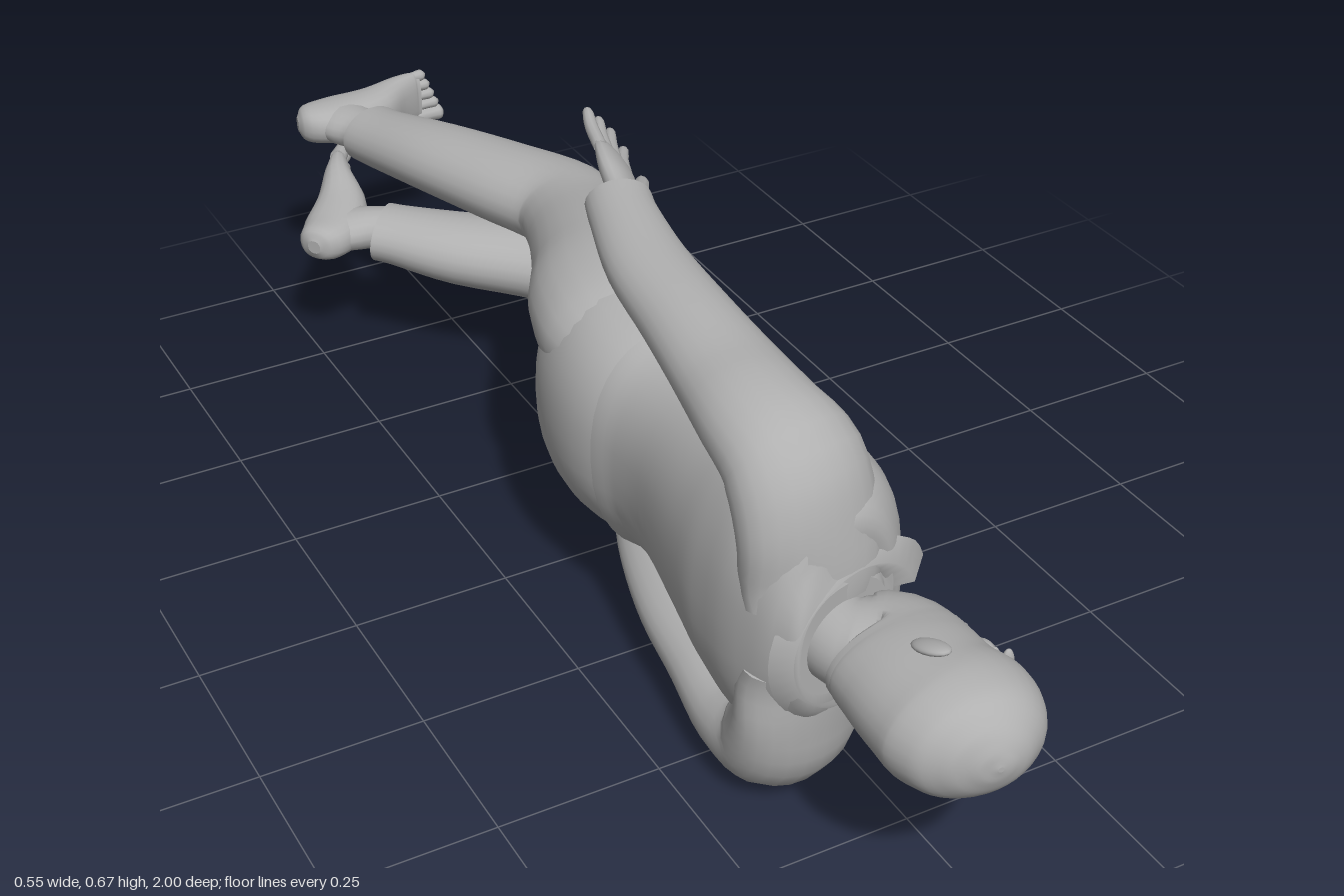
import * as THREE from 'three';

const grey = new THREE.MeshStandardMaterial({ color: 0xb0b0b0 });
grey.name = 'plain grey';
const greySheet = new THREE.MeshStandardMaterial({ color: 0xb0b0b0, side: THREE.DoubleSide });
greySheet.name = 'plain grey sheet';

function add(parent, name, geo, mat = grey) {
  const mesh = new THREE.Mesh(geo, mat);
  mesh.name = name;
  parent.add(mesh);
  return mesh;
}

// Smooth body through stations [x, y, z, half width across, half height in y].
function loft(stations, { sides = 24, steps = 4, power = 2 } = {}) {
  const path = new THREE.CatmullRomCurve3(stations.map(s => new THREE.Vector3(s[0], s[1], s[2])), false, 'catmullrom');
  const size = new THREE.CatmullRomCurve3(stations.map(s => new THREE.Vector3(s[3], s[4], 0)), false, 'catmullrom');
  const n = (stations.length - 1) * steps;
  const pos = [], idx = [], up = new THREE.Vector3(0, 1, 0);
  const bend = c => Math.sign(c) * Math.abs(c) ** (2 / power);
  for (let k = 0; k <= n; k++) {
    const c = path.getPoint(k / n), t = path.getTangent(k / n), r = size.getPoint(k / n);
    const u = new THREE.Vector3().crossVectors(up, t).normalize();
    const v = new THREE.Vector3().crossVectors(t, u);
    for (let i = 0; i < sides; i++) {
      const th = i / sides * Math.PI * 2;
      const p = c.clone().addScaledVector(u, bend(Math.cos(th)) * Math.max(r.x, 0.001))
        .addScaledVector(v, bend(Math.sin(th)) * Math.max(r.y, 0.001));
      pos.push(p.x, p.y, p.z);
    }
  }
  for (let k = 0; k < n; k++) for (let i = 0; i < sides; i++) {
    const a = k * sides + i, b = k * sides + (i + 1) % sides, c = a + sides, d = b + sides;
    idx.push(a, b, d, a, d, c);
  }
  // End caps with their own corners
  for (const [ring, flip] of [[0, true], [n, false]]) {
    const base = pos.length / 3;
    for (let i = 0; i < sides * 3; i++) pos.push(pos[ring * sides * 3 + i]);
    for (let i = 1; i < sides - 1; i++) idx.push(base, base + (flip ? i + 1 : i), base + (flip ? i : i + 1));
  }
  const geo = new THREE.BufferGeometry();
  geo.setAttribute('position', new THREE.Float32BufferAttribute(pos, 3));
  geo.setIndex(idx);
  geo.computeVertexNormals();
  return geo;
}

function blob(parent, name, x, y, z, rx, ry, rz) {
  const m = add(parent, name, new THREE.SphereGeometry(1, 16, 12));
  m.position.set(x, y, z);
  m.scale.set(rx, ry, rz);
  return m;
}

// Hand: local z runs to the fingertips, local x is the thumb side.
function makeHand(name, wrist, tip, thumbSide) {
  const g = new THREE.Group();
  g.name = name;
  add(g, 'palm', loft([[0, 0, -0.03, 0.026, 0.02], [0, 0, 0.01, 0.026, 0.019], [0.003, 0, 0.06, 0.042, 0.02],
    [0, 0, 0.105, 0.045, 0.016], [0, 0, 0.135, 0.041, 0.01]], { sides: 16 }));
  const lengths = [0.085, 0.103, 0.113, 0.1];
  lengths.forEach((len, i) => {
    const x = -0.033 + i * 0.022, out = (i - 1.5) * 0.01;
    add(g, 'finger', loft([[x, 0, 0.115, 0.0105, 0.0105], [x + out * 0.5, 0.003, 0.125 + len * 0.5, 0.0105, 0.01],
      [x + out, 0, 0.117 + len, 0.009, 0.008], [x + out, -0.001, 0.125 + len, 0.003, 0.003]], { sides: 10, steps: 3 }));
  });
  add(g, 'thumb', loft([[0.015, 0, 0.03, 0.017, 0.015], [0.047, -0.005, 0.078, 0.015, 0.014],
    [0.066, -0.008, 0.13, 0.012, 0.011], [0.069, -0.008, 0.152, 0.004, 0.004]], { sides: 10, steps: 3 }));
  const w = new THREE.Vector3(...wrist), dir = new THREE.Vector3(...tip).sub(w).normalize();
  const normal = new THREE.Vector3().crossVectors(dir, new THREE.Vector3(...thumbSide)).normalize();
  const side = new THREE.Vector3().crossVectors(normal, dir);
  g.quaternion.setFromRotationMatrix(new THREE.Matrix4().makeBasis(side, normal, dir));
  g.position.copy(w);
  return g;
}

// Bare foot: toes along local x, sole towards local -z, big toe towards local -y.
function makeFoot(name) {
  const g = new THREE.Group();
  g.name = name;
  add(g, 'ankle', loft([[0.01, 0, 0.06, 0.042, 0.036], [0, 0, 0, 0.042, 0.035], [-0.015, 0, -0.05, 0.054, 0.034],
    [-0.02, 0, -0.1, 0.04, 0.03]], { sides: 18 }));
  add(g, 'sole and instep', loft([[-0.092, 0, -0.08, 0.012, 0.012], [-0.078, 0, -0.077, 0.036, 0.03],
    [-0.03, 0, -0.067, 0.052, 0.036], [0.04, -0.006, -0.074, 0.046, 0.042], [0.1, -0.014, -0.098, 0.029, 0.051],
    [0.14, -0.016, -0.11, 0.018, 0.051], [0.155, -0.016, -0.111, 0.013, 0.046]], { sides: 20, power: 2.3 }));
  for (let i = 0; i < 5; i++) {
    const y = -0.053 + i * 0.0195 - (i ? 0 : 0.002), r = i ? 0.0105 : 0.015, end = 0.202 - i * 0.008;
    add(g, 'toe', loft([[0.135, y, -0.109, r, r], [end - 0.025, y, -0.111, r * 0.85, r * 0.9],
      [end - 0.008, y, -0.113, r, r], [end, y, -0.114, r * 0.3, r * 0.3]], { sides: 10, steps: 3 }));
  }
  return g;
}

// Open collar: a folded band around the neck with a gap and two points at the front.
function collarGeometry() {
  const pos = [], idx = [], n = 32;
  for (let i = 0; i <= n; i++) {
    const th = 0.35 + i / n * (Math.PI * 2 - 0.7), c = Math.cos(th), s = Math.sin(th), f = (c + 1) / 2;
    const point = Math.max(0, f - 0.8) * 0.12;
    pos.push(-0.068 + 0.085 * c, 0.308 + 0.08 * s, 0.69 - 0.03 * f);
    pos.push(-0.06 + 0.11 * c, 0.303 + 0.105 * s, 0.713 - 0.045 * f);
    pos.push(-0.048 + 0.143 * c, 0.292 + 0.138 * s, 0.684 - 0.04 * f - point);
    if (i < n) for (let j = 0; j < 2; j++) {
      const a = i * 3 + j;
      idx.push(a, a + 3, a + 4, a, a + 4, a + 1);
    }
  }
  const geo = new THREE.BufferGeometry();
  geo.setAttribute('position', new THREE.Float32BufferAttribute(pos, 3));
  geo.setIndex(idx);
  geo.computeVertexNormals();
  return geo;
}

export function createModel() {
  const model = new THREE.Group();
  model.name = 'reclining figure';

  // Head and neck
  const head = new THREE.Group();
  head.name = 'head';
  model.add(head);
  add(head, 'skull and neck', loft([[-0.09, 0.31, 0.62, 0.07, 0.07], [-0.087, 0.31, 0.69, 0.062, 0.06],
    [-0.07, 0.31, 0.72, 0.08, 0.06], [-0.047, 0.31, 0.74, 0.1, 0.062], [-0.044, 0.31, 0.765, 0.106, 0.067],
    [-0.046, 0.31, 0.8, 0.107, 0.074], [-0.048, 0.309, 0.85, 0.109, 0.08], [-0.043, 0.307, 0.9, 0.115, 0.086],
    [-0.043, 0.306, 0.95, 0.098, 0.078], [-0.045, 0.306, 0.98, 0.064, 0.053], [-0.047, 0.306, 0.995, 0.03, 0.026],
    [-0.048, 0.306, 1, 0.004, 0.004]], { sides: 32 }));
  add(head, 'nose', loft([[0.054, 0.31, 0.86, 0.006, 0.007], [0.06, 0.31, 0.83, 0.01, 0.009],
    [0.063, 0.31, 0.802, 0.015, 0.015], [0.057, 0.31, 0.787, 0.006, 0.01]], { sides: 12 }));
  blob(head, 'upper lip', 0.057, 0.31, 0.767, 0.008, 0.022, 0.005);
  blob(head, 'lower lip', 0.055, 0.31, 0.757, 0.008, 0.019, 0.005);
  blob(head, 'chin', 0.043, 0.31, 0.738, 0.018, 0.025, 0.014);
  for (const s of [-1, 1]) {
    blob(head, 'eye', 0.044, 0.31 + s * 0.031, 0.848, 0.009, 0.013, 0.006);
    blob(head, 'brow', 0.048, 0.31 + s * 0.033, 0.872, 0.01, 0.024, 0.007);
    const ear = blob(head, 'ear', -0.06, 0.309 + s * 0.09, 0.855, 0.018, 0.008, 0.032);
    ear.rotation.set(s * -0.3, 0.2, 0);
  }

  // Shirt body, hem first
  add(model, 'shirt', loft([[-0.045, 0.315, 0.185, 0.147, 0.186], [-0.045, 0.318, 0.24, 0.138, 0.172],
    [-0.048, 0.32, 0.32, 0.136, 0.172], [-0.057, 0.317, 0.44, 0.146, 0.192], [-0.067, 0.315, 0.53, 0.149, 0.215],
    [-0.08, 0.313, 0.6, 0.135, 0.23], [-0.085, 0.312, 0.645, 0.117, 0.2], [-0.084, 0.31, 0.675, 0.096, 0.15],
    [-0.08, 0.31, 0.693, 0.08, 0.085]], { sides: 36, power: 2.3 }));
  add(model, 'collar', collarGeometry(), greySheet);

  // Sleeves, from inside the shoulder round to the cuff
  add(model, 'leftSleeve', loft([[-0.1, 0.36, 0.64, 0.1, 0.055], [-0.1, 0.45, 0.626, 0.106, 0.062],
    [-0.104, 0.53, 0.59, 0.102, 0.072], [-0.112, 0.562, 0.52, 0.088, 0.066], [-0.105, 0.573, 0.42, 0.078, 0.057],
    [-0.098, 0.588, 0.3, 0.068, 0.052], [-0.088, 0.602, 0.17, 0.062, 0.044], [-0.063, 0.615, 0.05, 0.052, 0.039],
    [-0.05, 0.62, 0.005, 0.05, 0.038]]));
  add(model, 'rightSleeve', loft([[-0.1, 0.26, 0.64, 0.1, 0.055], [-0.1, 0.17, 0.626, 0.106, 0.062],
    [-0.104, 0.09, 0.59, 0.1, 0.08], [-0.112, 0.073, 0.52, 0.088, 0.066], [-0.108, 0.088, 0.42, 0.078, 0.054],
    [-0.1, 0.096, 0.3, 0.068, 0.046], [-0.07, 0.096, 0.17, 0.06, 0.04], [-0.03, 0.088, 0.05, 0.05, 0.032],
    [-0.016, 0.085, 0.005, 0.048, 0.03]]));
  model.add(makeHand('leftHand', [-0.042, 0.62, 0.005], [0.035, 0.624, -0.2], [0.6, -0.78, 0]));
  model.add(makeHand('rightHand', [-0.01, 0.083, -0.02], [0.09, 0.05, -0.24], [0.88, 0.35, 0]));

  // Trousers: seat and two bent legs
  add(model, 'trouserSeat', loft([[-0.04, 0.315, 0.215, 0.125, 0.165], [-0.053, 0.315, 0.13, 0.146, 0.182],
    [-0.05, 0.315, 0.04, 0.143, 0.19], [-0.035, 0.315, -0.03, 0.125, 0.18], [-0.025, 0.315, -0.075, 0.09, 0.14]],
  { sides: 36, power: 2.3 }));
  add(model, 'leftTrouserLeg', loft([[-0.06, 0.4, 0.12, 0.1, 0.075], [-0.047, 0.412, 0.04, 0.135, 0.098],
    [-0.03, 0.414, -0.06, 0.128, 0.1], [0.008, 0.405, -0.18, 0.103, 0.09], [0.048, 0.392, -0.32, 0.088, 0.073],
    [0.061, 0.388, -0.41, 0.092, 0.066], [0.014, 0.385, -0.53, 0.086, 0.062], [-0.04, 0.378, -0.67, 0.075, 0.057],
    [-0.08, 0.362, -0.8, 0.063, 0.05], [-0.092, 0.357, -0.85, 0.062, 0.048]]));
  add(model, 'rightTrouserLeg', loft([[-0.06, 0.225, 0.12, 0.1, 0.075], [-0.035, 0.218, 0.04, 0.125, 0.094],
    [0.01, 0.212, -0.06, 0.115, 0.096], [0.075, 0.202, -0.18, 0.096, 0.089], [0.15, 0.196, -0.32, 0.084, 0.077],
    [0.182, 0.2, -0.42, 0.088, 0.072], [0.092, 0.214, -0.525, 0.087, 0.066], [-0.03, 0.226, -0.613, 0.078, 0.058],
    [-0.115, 0.239, -0.685, 0.065, 0.048], [-0.14, 0.242, -0.708, 0.064, 0.046]]));

  // Feet
  const leftFoot = makeFoot('leftFoot');
  leftFoot.position.set(-0.1, 0.353, -0.873);
  const rightFoot = makeFoot('rightFoot');
  rightFoot.position.set(-0.145, 0.241, -0.73);
  rightFoot.rotation.y = 0.86;
  rightFoot.scale.y = -1;
  model.add(leftFoot, rightFoot);
  return model;
}
